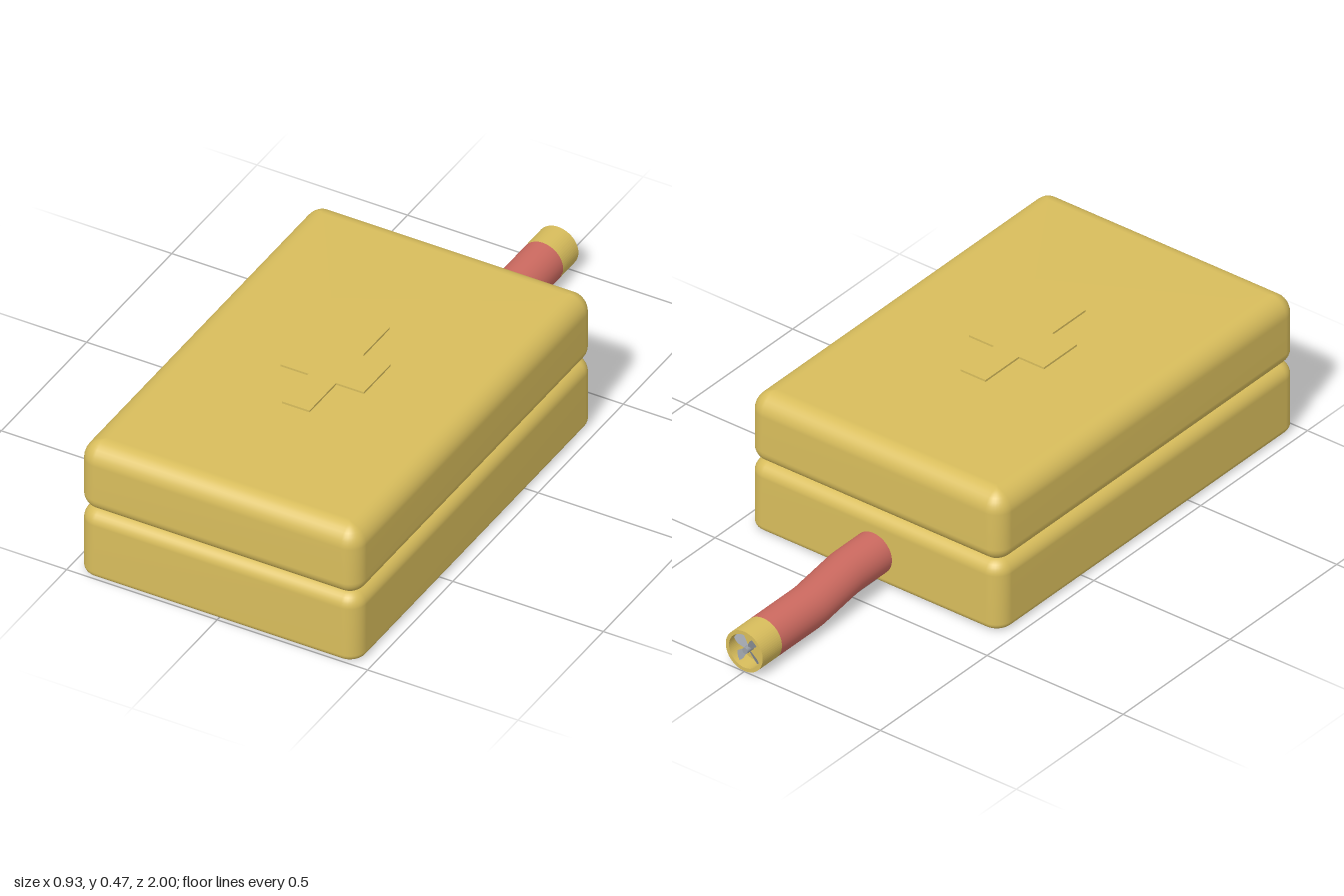
import * as THREE from 'three';

const gold = new THREE.MeshStandardMaterial({ color: 0xd8bd5c });
const red = new THREE.MeshStandardMaterial({ color: 0xcd6a60 });
const grey = new THREE.MeshStandardMaterial({ color: 0x9a9fa6, side: THREE.DoubleSide });

const HALF_X = 0.465, Z_BACK = -0.395, Z_FRONT = 1;
const PIPE_R = 0.068, LOW_Y = 0.07, HIGH_Y = 0.098;

function add(group, name, geometry, material) {
  const mesh = new THREE.Mesh(geometry, material);
  mesh.name = name;
  group.add(mesh);
  return mesh;
}

// Rounded slab with different edge radii at the bottom and top, lofted from rounded rectangles
function slab(y0, y1, bottomR, topR) {
  const arc = 8, corner = 8, profile = [];
  for (let i = 0; i <= arc; i++) {
    const a = (i / arc) * Math.PI / 2;
    profile.push([bottomR * (1 - Math.sin(a)), y0 + bottomR * (1 - Math.cos(a))]);
  }
  for (let i = 0; i <= arc; i++) {
    const a = (i / arc) * Math.PI / 2;
    profile.push([topR * (1 - Math.cos(a)), y1 - topR * (1 - Math.sin(a))]);
  }
  const zMid = (Z_BACK + Z_FRONT) / 2, halfZ = (Z_FRONT - Z_BACK) / 2;
  const pos = [], index = [], n = 4 * (corner + 1);
  for (const [inset, y] of profile) {
    const r = Math.max(0.055 - inset, 0.004);
    for (let q = 0; q < 4; q++) {
      const sx = q === 0 || q === 3 ? 1 : -1, sz = q < 2 ? 1 : -1;
      for (let k = 0; k <= corner; k++) {
        const a = (q + k / corner) * Math.PI / 2;
        pos.push(sx * (HALF_X - inset - r) + r * Math.cos(a), y,
          zMid + sz * (halfZ - inset - r) + r * Math.sin(a));
      }
    }
  }
  const rows = profile.length, bottom = rows * n, top = bottom + 1, last = (rows - 1) * n;
  pos.push(0, y0, zMid, 0, y1, zMid);
  for (let i = 0; i < n; i++) {
    const j = (i + 1) % n;
    for (let r = 0; r < rows - 1; r++) {
      const a = r * n + i, b = r * n + j;
      index.push(a, a + n, b, b, a + n, b + n);
    }
    index.push(bottom, i, j, top, last + j, last + i);
  }
  const g = new THREE.BufferGeometry();
  g.setAttribute('position', new THREE.Float32BufferAttribute(pos, 3));
  g.setIndex(index);
  g.computeVertexNormals();
  return g;
}

// Thin raised plus shape, lying on the lid
function plusGeometry() {
  const x = 0.138, z = 0.234, ix = x / 3, iz = z / 3;
  const pts = [[ix, z], [ix, iz], [x, iz], [x, -iz], [ix, -iz], [ix, -z],
    [-ix, -z], [-ix, -iz], [-x, -iz], [-x, iz], [-ix, iz], [-ix, z]];
  const shape = new THREE.Shape(pts.map(p => new THREE.Vector2(...p)));
  return new THREE.ExtrudeGeometry(shape, { depth: 0.0125, bevelEnabled: false }).rotateX(-Math.PI / 2);
}

// Cylinder along z whose middle stretch slopes down to the ground
function bentPipe(zStart, zEnd) {
  const len = zStart - zEnd;
  const g = new THREE.CylinderGeometry(PIPE_R, PIPE_R, len, 32, 24, true);
  g.rotateX(Math.PI / 2).translate(0, 0, (zStart + zEnd) / 2);
  const p = g.attributes.position;
  for (let i = 0; i < p.count; i++) {
    const t = THREE.MathUtils.clamp((-0.53 - p.getZ(i)) / 0.17, 0, 1);
    p.setY(i, p.getY(i) + THREE.MathUtils.lerp(HIGH_Y, LOW_Y, t));
  }
  return g;
}

export function createModel() {
  const model = new THREE.Group();
  add(model, 'lowerBody', slab(0, 0.2335, 0.022, 0.045), gold);
  add(model, 'upperBody', slab(0.2335, 0.466, 0.045, 0.065), gold);
  add(model, 'raisedPlus', plusGeometry(), gold).position.set(0, 0.46, 0.305);
  add(model, 'hose', bentPipe(-0.38, -0.91), red);

  // Nozzle: collar with a recessed floor
  const nozzle = new THREE.Group();
  nozzle.name = 'nozzle';
  nozzle.position.set(0, LOW_Y, -1);
  model.add(nozzle);
  const ring = new THREE.Shape().absarc(0, 0, PIPE_R, 0, Math.PI * 2);
  ring.holes.push(new THREE.Path().absarc(0, 0, 0.056, 0, Math.PI * 2, true));
  add(nozzle, 'collar', new THREE.ExtrudeGeometry(ring,
    { depth: 0.09, bevelEnabled: false, curveSegments: 32 }), gold);
  const floor = add(nozzle, 'collarFloor', new THREE.CircleGeometry(0.057, 32), gold);
  floor.rotation.y = Math.PI;
  floor.position.z = 0.05;

  // Fan: hub and pitched blades
  const fan = new THREE.Group();
  fan.name = 'fan';
  fan.position.z = 0.018;
  nozzle.add(fan);
  add(fan, 'fanHub', new THREE.CylinderGeometry(0.01, 0.01, 0.03, 16).rotateX(Math.PI / 2), grey);
  const outline = new THREE.Shape();
  outline.moveTo(0.005, -0.005);
  outline.quadraticCurveTo(0.03, -0.022, 0.05, -0.016);
  outline.quadraticCurveTo(0.057, 0, 0.05, 0.014);
  outline.quadraticCurveTo(0.03, 0.012, 0.005, 0.005);
  for (let i = 0; i < 4; i++) {
    const arm = new THREE.Group();
    arm.rotation.z = Math.PI / 4 + i * Math.PI / 2;
    fan.add(arm);
    add(arm, 'fanBlade', new THREE.ShapeGeometry(outline, 8), grey).rotation.x = 0.5;
  }
  return model;
}
